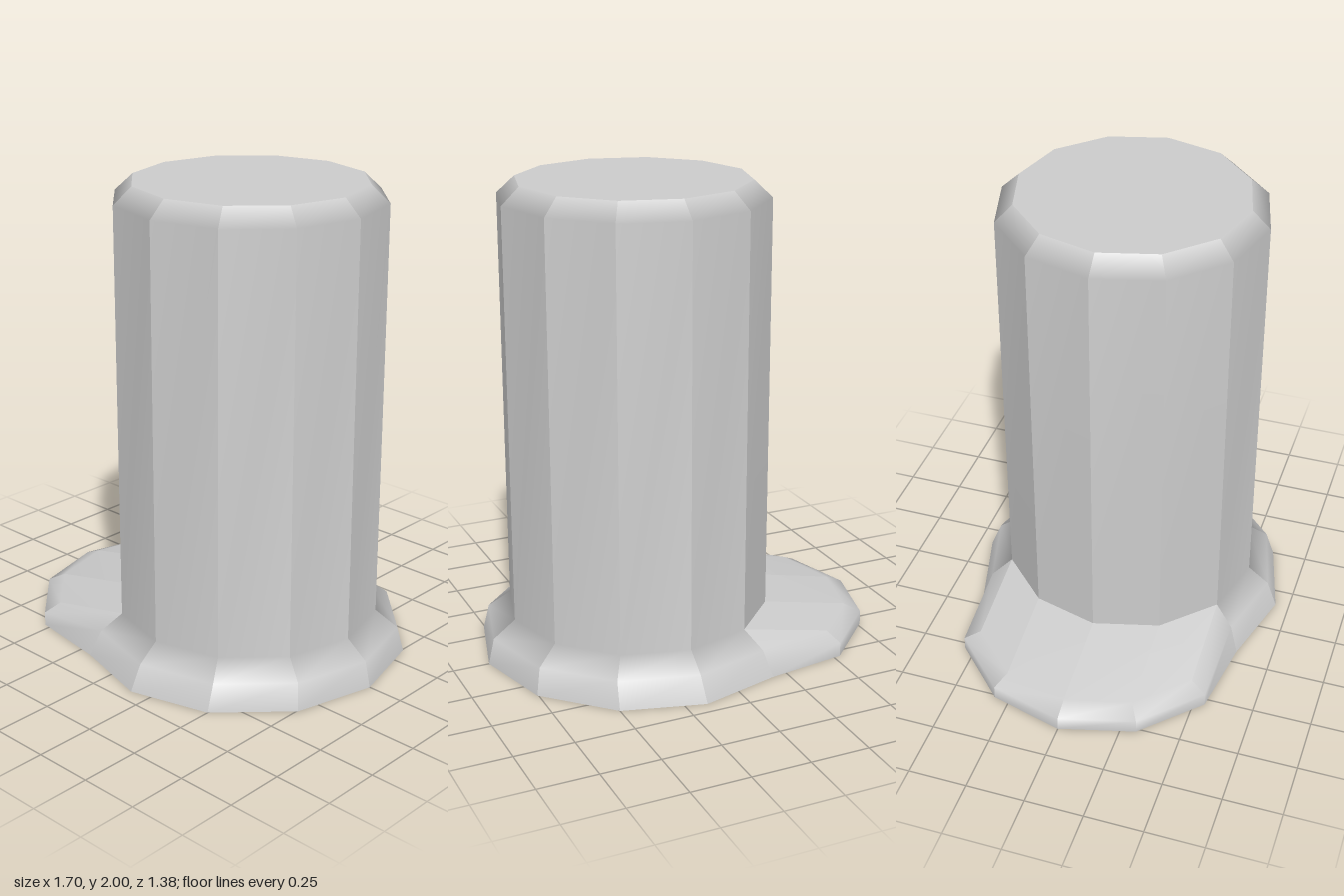
import * as THREE from 'three';
import { mergeGeometries } from 'three/addons/utils/BufferGeometryUtils.js';

const CX = 0.17; // column axis
const R = 0.555; // column radius

// Half outlines (z >= 0) as [x, y, z], from the +x end round to the -x end.
const bottom = [[0.845, 0, 0], [0.755, 0, 0.343], [0.5, 0, 0.597], [0.16, 0, 0.69],
  [-0.185, 0, 0.597], [-0.53, 0, 0.547], [-0.765, 0, 0.315], [-0.85, 0, 0]];
const rim = [[0.82, 0.11, 0], [0.735, 0.11, 0.323], [0.495, 0.11, 0.56], [0.17, 0.11, 0.645],
  [-0.155, 0.11, 0.56], [-0.53, 0.06, 0.547], [-0.765, 0.06, 0.315], [-0.85, 0.06, 0]];
// The toe repeats the column's outline, shifted outwards and lower.
const toe = [[-0.5, 0.095, 0.48], [-0.7, 0.095, 0.278], [-0.77, 0.095, 0]];

// Point k of a 12-sided ring round the column axis.
const ring = (k, r, y) => {
  const a = (k * Math.PI) / 6;
  return [CX + r * Math.cos(a), y, r * Math.sin(a)];
};
const foot = (k) => ring(k, R, 0.18);
const shoulder = (k) => ring(k, R, 1.93);
const crown = (k) => ring(k, 0.48, 2);

// One facet strip between two upright chains of points: smooth upwards, sharp at its sides.
function strip(right, left) {
  const index = [];
  for (let r = 0; r < right.length - 1; r++) {
    const a = 2 * r, b = a + 1, d = a + 2, c = a + 3;
    index.push(b, a, d, b, d, c);
  }
  const g = new THREE.BufferGeometry();
  g.setAttribute('position', new THREE.Float32BufferAttribute(right.flatMap((p, i) => [...p, ...left[i]]), 3));
  g.setIndex(index);
  g.computeVertexNormals();
  return g;
}

const mirrorZ = ([x, y, z]) => [x, y, -z];

// A strip and its mirror image on the other side of z = 0.
const pair = (right, left) => [strip(right, left), strip(left.map(mirrorZ), right.map(mirrorZ))];

export function createModel() {
  const group = new THREE.Group();
  const material = new THREE.MeshStandardMaterial({ color: 0xcccccc });
  const add = (name, geometry) => {
    const mesh = new THREE.Mesh(geometry, material);
    mesh.name = name;
    group.add(mesh);
  };

  // Column with its flared skirt
  const column = [];
  for (let i = 0; i < 4; i++) {
    const chain = (k) => [bottom[k], rim[k], foot(k), shoulder(k), crown(k)];
    column.push(...pair(chain(i), chain(i + 1)));
  }
  for (let k = 4; k < 6; k++) {
    const chain = (j) => [foot(j), shoulder(j), crown(j)];
    column.push(...pair(chain(k), chain(k + 1)));
  }
  add('column', mergeGeometries(column));

  // Sloping toe on the -x side
  const toeParts = pair([bottom[4], rim[4], foot(4)], [bottom[5], rim[5], toe[0]]);
  for (let i = 0; i < 2; i++) {
    const chain = (j) => [bottom[5 + j], rim[5 + j], toe[j], foot(4 + j)];
    toeParts.push(...pair(chain(i), chain(i + 1)));
  }
  add('toe', mergeGeometries(toeParts));

  // Flat top
  add('topCap', new THREE.CircleGeometry(0.48, 12).rotateX(-Math.PI / 2).translate(CX, 2, 0));

  // Flat underside
  const outline = [...bottom, ...bottom.slice(1, -1).reverse().map(mirrorZ)];
  const shape = new THREE.Shape(outline.map(([x, , z]) => new THREE.Vector2(x, z)));
  add('underside', new THREE.ShapeGeometry(shape).rotateX(Math.PI / 2));

  return group;
}
